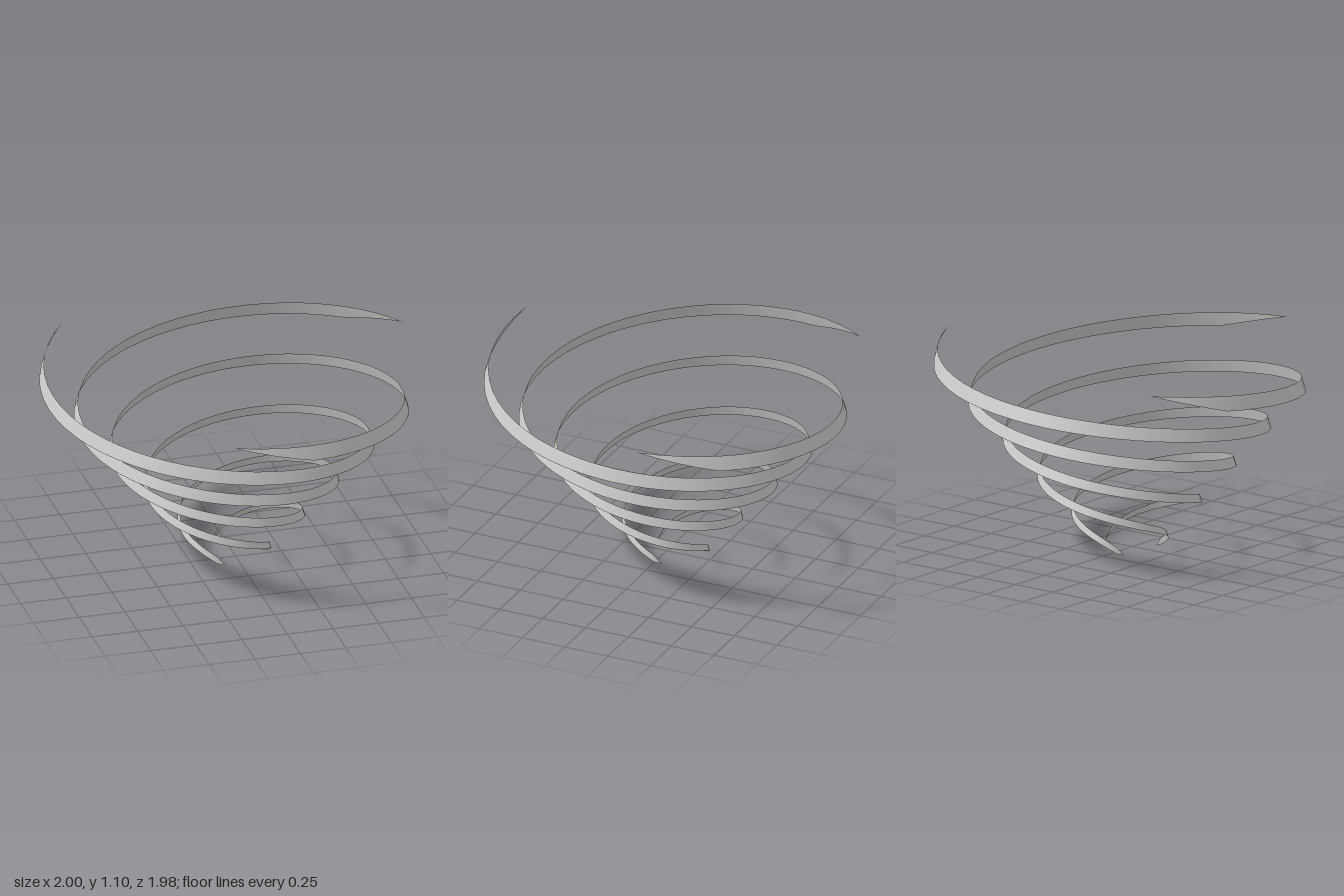
import * as THREE from 'three';

const TURN = THREE.MathUtils.degToRad(585.5); // sweep of one ribbon
const SEGMENTS = 96;
const LEAN = 0.16; // outward lean of the lower edge, per unit of width

// Leaning ribbon that winds up and out along a cone
function ribbonGeometry() {
  const positions = [], indices = [];
  for (let i = 0; i <= SEGMENTS; i++) {
    const t = i / SEGMENTS;
    const a = t * TURN;
    const radius = 0.157 + 0.893 * t;
    // the foot is a short point that dips to the ground
    const width = (0.03 + 0.05 * t) * Math.min(1, t / 0.02);
    const dip = 0.022 * Math.max(0, 1 - t / 0.1) ** 2;
    const middle = 0.022 + 1.038 * t - dip;
    // the lower edge rises to the upper one at the tip
    const tip = Math.min(1, (1 - t) / 0.042);
    const high = middle + width / 2;
    const low = high - width * tip;
    const highOut = -LEAN * width;
    const lowOut = highOut + 2 * LEAN * width * tip;
    for (const [y, out] of [[low, lowOut], [high, highOut]]) {
      positions.push((radius + out) * Math.cos(a), y, (radius + out) * Math.sin(a));
    }
    // the first and last steps are single triangles
    const n = i * 2;
    if (i > 0 && i < SEGMENTS) indices.push(n, n + 1, n + 2);
    if (i < SEGMENTS - 1) indices.push(n + 1, n + 3, n + 2);
  }
  const geometry = new THREE.BufferGeometry();
  geometry.setAttribute('position', new THREE.Float32BufferAttribute(positions, 3));
  geometry.setIndex(indices);
  geometry.computeVertexNormals();
  return geometry;
}

export function createModel() {
  const model = new THREE.Group();
  model.name = 'conicalSpiral';
  const grey = new THREE.MeshStandardMaterial({ color: 0xcccccc, side: THREE.DoubleSide });
  grey.name = 'lightGrey';

  // Three equal ribbons around one axis
  const geometry = ribbonGeometry();
  for (let k = 0; k < 3; k++) {
    const ribbon = new THREE.Mesh(geometry, grey);
    ribbon.name = `spiralRibbon${k + 1}`;
    ribbon.rotation.y = -k * Math.PI * 2 / 3;
    ribbon.position.set(-0.004, 0, -0.041);
    model.add(ribbon);
  }
  return model;
}
